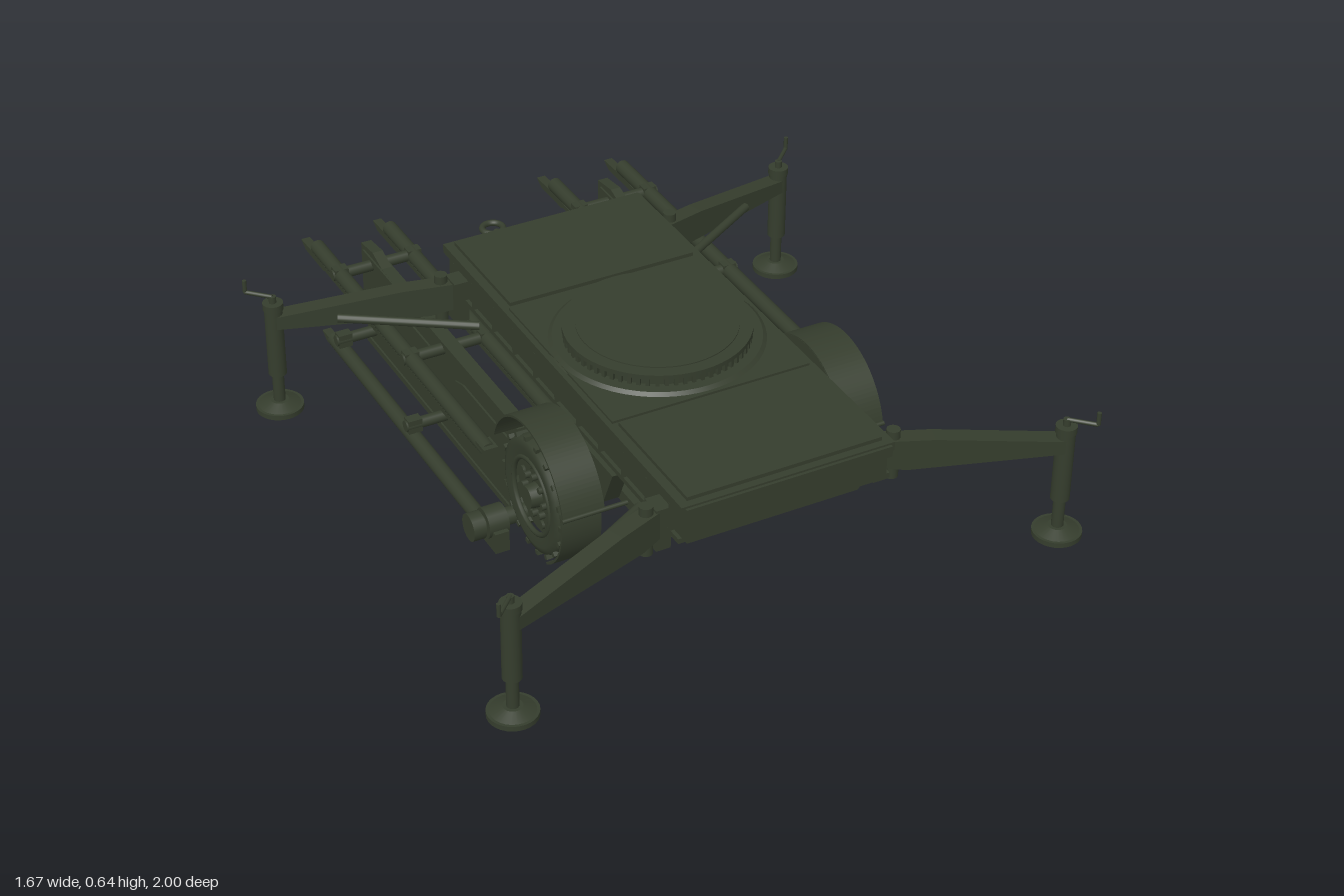
import * as THREE from 'three';

export function createModel() {
  const model = new THREE.Group();
  const olive = new THREE.MeshStandardMaterial({ color: 0x353d2d });
  olive.name = 'olive paint';
  const V = (x, y, z) => new THREE.Vector3(x, y, z);

  const add = (name, geo, x = 0, y = 0, z = 0, parent = model) => {
    const m = new THREE.Mesh(geo, olive);
    m.name = name;
    m.position.set(x, y, z);
    parent.add(m);
    return m;
  };
  const box = (name, w, h, d, x, y, z, p) => add(name, new THREE.BoxGeometry(w, h, d), x, y, z, p);
  const disc = (name, r, h, x, y, z, seg = 32, p = model, r2 = r) =>
    add(name, new THREE.CylinderGeometry(r, r2, h, seg), x, y, z, p);
  // Round bar between two points
  const bar = (name, a, b, r, p = model, seg = 14) => {
    const m = disc(name, r, a.distanceTo(b), 0, 0, 0, seg, p);
    m.position.copy(a).lerp(b, 0.5);
    m.quaternion.setFromUnitVectors(V(0, 1, 0), b.clone().sub(a).normalize());
    return m;
  };
  const poly = (pts) => new THREE.Shape(pts.map(([a, b]) => new THREE.Vector2(a, b)));
  // Side profile given as (z, y), extruded across x
  const slab = (name, shape, x, width, p = model) => {
    const g = new THREE.ExtrudeGeometry(shape, { depth: width, bevelEnabled: false, curveSegments: 24 });
    g.translate(0, 0, -width / 2).rotateY(-Math.PI / 2);
    return add(name, g, x, 0, 0, p);
  };
  const sector = (cx, cy, r0, r1, a0, a1) => {
    const s = new THREE.Shape();
    s.absarc(cx, cy, r1, a0, a1, false);
    s.absarc(cx, cy, r0, a1, a0, true);
    return s;
  };

  // Deck: stepped platform with tapered belly
  box('deckBody', 0.57, 0.1, 1.31, 0, 0.53, 0.21);
  box('deckTop', 0.59, 0.025, 1.34, 0, 0.583, 0.21);
  box('deckLowerFlange', 0.59, 0.014, 1.31, 0, 0.487, 0.21);
  const belly = new THREE.ExtrudeGeometry(
    poly([[-0.24, 0.425], [0.24, 0.425], [0.285, 0.485], [-0.285, 0.485]]), { depth: 1.2, bevelEnabled: false });
  add('deckBelly', belly, 0, 0, -0.39);
  for (const [z, d] of [[0.685, 0.35], [-0.27, 0.34]]) box('deckPanel', 0.54, 0.012, d, 0, 0.6, z);
  box('turntableBed', 0.56, 0.008, 0.58, 0, 0.598, 0.205);
  for (const z of [0.883, -0.463]) box('deckEndLip', 0.57, 0.03, 0.01, 0, 0.575, z);
  for (const s of [1, -1]) for (let i = 0; i < 11; i++)
    box('deckRib', 0.012, 0.078, 0.012, s * 0.289, 0.531, 0.82 - i * 0.122);

  // Turntable with toothed ring
  disc('turntableBase', 0.27, 0.012, 0, 0.604, 0.205, 56, model, 0.285);
  disc('turntableRing', 0.235, 0.035, 0, 0.622, 0.205, 56);
  disc('turntableCap', 0.245, 0.012, 0, 0.636, 0.205, 56);
  disc('turntableCover', 0.21, 0.006, 0, 0.642, 0.205, 56);
  disc('turntableUnderside', 0.2, 0.02, 0, 0.418, 0.205, 48);
  for (let i = 0; i < 64; i++) {
    const a = i / 64 * Math.PI * 2;
    box('ringTooth', 0.014, 0.022, 0.01, Math.cos(a) * 0.237, 0.621, 0.205 + Math.sin(a) * 0.237).rotation.y = -a;
  }

  // Four outriggers with jack, foot and crank
  for (const s of [1, -1]) for (const [z0, z1, zs0, zs1] of [[0.78, 0.93, 0.66, 0.86], [-0.355, -0.51, -0.25, -0.43]]) {
    const rig = new THREE.Group();
    rig.name = 'outrigger';
    model.add(rig);
    const X = s * 0.77, out = Math.sign(z1 - z0);
    const dx = X - s * 0.3, dz = z1 - z0, len = Math.hypot(dx, dz);
    const g = new THREE.ExtrudeGeometry(
      poly([[0, 0.47], [0.08, 0.452], [len, 0.45], [len, 0.487], [0.15, 0.535], [0, 0.545]]),
      { depth: 0.048, bevelEnabled: false });
    add('outriggerArm', g.translate(0, 0, -0.024), s * 0.3, 0, z0, rig).rotation.y = -Math.atan2(dz, dx);
    box('armBracket', 0.04, 0.12, 0.06, s * 0.305, 0.49, z0, rig);
    bar('armPivot', V(s * 0.345, 0.425, z0 + dz * 0.1), V(s * 0.345, 0.565, z0 + dz * 0.1), 0.018, rig);
    bar('braceStrut', V(s * 0.29, 0.455, zs0), V(s * 0.62, 0.475, zs1), 0.012, rig);
    disc('jackTube', 0.025, 0.22, X, 0.41, z1, 18, rig);
    disc('jackCap', 0.028, 0.02, X, 0.513, z1, 18, rig);
    disc('jackRam', 0.016, 0.12, X, 0.25, z1, 16, rig);
    disc('footCone', 0.025, 0.014, X, 0.208, z1, 24, rig, 0.06);
    disc('footPad', 0.065, 0.014, X, 0.195, z1, 28, rig);
    const k = V(X + s * 0.055, 0.54, z1 + out * 0.055);
    bar('crankShaft', V(X, 0.52, z1), V(X, 0.542, z1), 0.01, rig);
    bar('crankArm', V(X, 0.54, z1), k, 0.006, rig, 8);
    bar('crankHandle', k, V(k.x, 0.576, k.z), 0.006, rig, 8);
  }

  // Wheels and fenders
  const wy = 0.355, wz = 0.375;
  const tireProfile = [[0.1, -0.045], [0.135, -0.052], [0.153, -0.046], [0.159, -0.03], [0.159, 0.03],
    [0.153, 0.046], [0.135, 0.052], [0.1, 0.045]].map(([a, b]) => new THREE.Vector2(a, b));
  for (const s of [1, -1]) {
    const wheel = new THREE.Group();
    wheel.name = 'wheel';
    wheel.position.set(s * 0.4, wy, wz);
    wheel.rotation.z = -s * Math.PI / 2;
    model.add(wheel);
    add('tire', new THREE.LatheGeometry(tireProfile, 40), 0, 0, 0, wheel);
    disc('rimDisc', 0.105, 0.06, 0, 0, 0, 32, wheel);
    add('rimLip', new THREE.TorusGeometry(0.103, 0.007, 8, 36), 0, 0.045, 0, wheel).rotation.x = Math.PI / 2;
    disc('hub', 0.03, 0.1, 0, 0.01, 0, 20, wheel, 0.04);
    for (let i = 0; i < 8; i++) {
      const a = i / 8 * Math.PI * 2;
      disc('wheelNut', 0.009, 0.02, Math.cos(a) * 0.055, 0.036, Math.sin(a) * 0.055, 6, wheel);
      disc('rimBoss', 0.012, 0.008, Math.cos(a + 0.39) * 0.08, 0.033, Math.sin(a + 0.39) * 0.08, 10, wheel);
    }
    for (let i = 0; i < 36; i++) {
      const a = i / 36 * Math.PI * 2;
      box('treadLug', 0.012, 0.045, 0.014, Math.cos(a) * 0.16, i % 2 ? 0.026 : -0.026, Math.sin(a) * 0.16, wheel).rotation.y = -a;
    }
    slab('fender', sector(wz, wy + 0.01, 0.2, 0.206, 0.22, Math.PI * 0.9), s * 0.4, 0.115);
    slab('fenderInnerWall', sector(wz, wy + 0.01, 0.15, 0.203, 0.22, Math.PI * 0.9), s * 0.345, 0.006);
    // Flap curls down close to the tread
    slab('mudFlap', sector(wz, wy, 0.172, 0.178, -1.05, 0.3), s * 0.395, 0.11);
    bar('flapRod', V(s * 0.28, 0.41, 0.575), V(s * 0.46, 0.41, 0.575), 0.006);
    bar('axleStub', V(s * 0.2, wy + 0.01, wz), V(s * 0.36, wy + 0.01, wz), 0.035);
    slab('suspensionBracket', poly([[0.3, 0.33], [0.45, 0.33], [0.5, 0.44], [0.25, 0.44]]), s * 0.26, 0.045);
  }
  bar('axle', V(-0.32, wy + 0.01, wz), V(0.32, wy + 0.01, wz), 0.02);

  // Trail legs: stamped web, upper and lower rails, ties
  for (const s of [1, -1]) {
    const leg = new THREE.Group();
    leg.name = 'trailLeg';
    model.add(leg);
    const web = poly([[0.18, 0.125], [0.18, 0.41], [-0.68, 0.42], [-0.74, 0.44], [-0.82, 0.43], [-0.82, 0.19], [-0.77, 0.125]]);
    slab('webPlate', web, s * 0.37, 0.03, leg);
    for (const y of [0.41, 0.13]) box('webFlange', 0.04, 0.018, 0.98, s * 0.37, y, -0.31, leg);
    for (const z of [0.15, -0.34]) for (const side of [-1, 1])
      slab('stampedPanel', poly([[z, 0.27], [z - 0.03, 0.24], [z - 0.31, 0.24], [z - 0.35, 0.28], [z - 0.35, 0.34],
        [z - 0.3, 0.355], [z, 0.355]]), s * 0.37 + side * 0.016, 0.009, leg);
    for (const x of [0.48, 0.26]) {
      for (const [y, zEnd, zTip, drop] of [[0.395, -0.91, -1, 0.027], [0.14, -0.82, -0.88, 0.008]]) {
        bar('rail', V(s * x, y, 0.2), V(s * x, y, zEnd), 0.021, leg);
        slab('railTip', poly([[zEnd + 0.07, y - drop - 0.012], [zTip + 0.03, y - drop - 0.012], [zTip, y - drop + 0.006],
          [zEnd + 0.07, y - drop + 0.012]]), s * x, 0.026, leg);
      }
      box('railLedge', 0.026, 0.014, 1, s * x, 0.368, -0.43, leg);
      box('railHead', 0.04, 0.06, 0.05, s * x, 0.38, 0.19, leg);
      box('railFoot', 0.04, 0.06, 0.07, s * x, 0.15, 0.235, leg);
      bar('beamCollar', V(s * (x - 0.028), 0.185, 0.215), V(s * (x + 0.028), 0.185, 0.215), 0.042, leg, 20);
    }
    for (const z of [-0.75, -0.28]) for (const y of [0.395, 0.18]) {
      bar('crossTie', V(s * 0.24, y, z), V(s * 0.505, y, z), 0.016, leg);
      for (const x of [0.48, 0.26]) box('tieClamp', 0.04, 0.04, 0.03, s * x, y, z, leg);
    }
    bar('beamEndHub', V(s * 0.515, 0.185, 0.215), V(s * 0.55, 0.185, 0.215), 0.038, leg, 20);
  }
  bar('pivotBeam', V(-0.54, 0.185, 0.215), V(0.54, 0.185, 0.215), 0.024, model, 18);

  // Gearbox between the wheels, with cooling slots
  box('gearboxBase', 0.34, 0.035, 0.26, 0, 0.235, 0.3);
  box('gearboxBody', 0.3, 0.09, 0.22, 0, 0.29, 0.3);
  box('gearboxMount', 0.12, 0.1, 0.14, 0, 0.38, 0.3);
  for (let i = 0; i < 5; i++) box('coolingFin', 0.22, 0.006, 0.009, 0, 0.265 + i * 0.013, 0.413);
  for (const s of [1, -1]) bar('hangerStrut', V(s * 0.04, 0.34, 0.3), V(s * 0.11, 0.44, 0.3), 0.012);
  bar('driveKnob', V(0.07, 0.375, 0.34), V(0.07, 0.375, 0.43), 0.03);

  // Toothed spade sector under the middle
  const ay = 0.18, az = 0.215, a0 = -1.78, a1 = -0.2;
  slab('spadeRim', sector(az, ay, 0.115, 0.168, a0, a1), 0, 0.02);
  bar('spadeHub', V(-0.02, ay, az), V(0.02, ay, az), 0.042, model, 20);
  for (let i = 0; i < 4; i++) {
    const a = a0 + 0.04 + i * (a1 - a0 - 0.08) / 3;
    bar('spadeSpoke', V(0, ay, az), V(0, ay + Math.sin(a) * 0.13, az + Math.cos(a) * 0.13), 0.009);
  }
  for (let i = 0; i < 16; i++) {
    const a = a0 + 0.04 + i * (a1 - a0 - 0.08) / 15;
    box('spadeTooth', 0.02, 0.01, 0.014, 0, ay + Math.sin(a) * 0.17, az + Math.cos(a) * 0.17).rotation.x = -a;
  }

  // Tow frame with ring
  for (const s of [1, -1]) {
    bar('towStrut', V(s * 0.19, 0.42, -0.46), V(s * 0.015, 0.39, -0.7), 0.016);
    box('towBracket', 0.07, 0.05, 0.035, s * 0.19, 0.43, -0.475);
  }
  bar('towCrossbar', V(-0.11, 0.405, -0.56), V(0.11, 0.405, -0.56), 0.011);
  box('towCrossBlock', 0.025, 0.035, 0.04, 0, 0.405, -0.56);
  box('towHead', 0.06, 0.04, 0.05, 0, 0.39, -0.69);
  bar('towShank', V(0, 0.39, -0.69), V(0, 0.39, -0.755), 0.013);
  add('towRing', new THREE.TorusGeometry(0.03, 0.009, 12, 28), 0, 0.39, -0.78).rotation.x = Math.PI / 2;
  return model;
}
